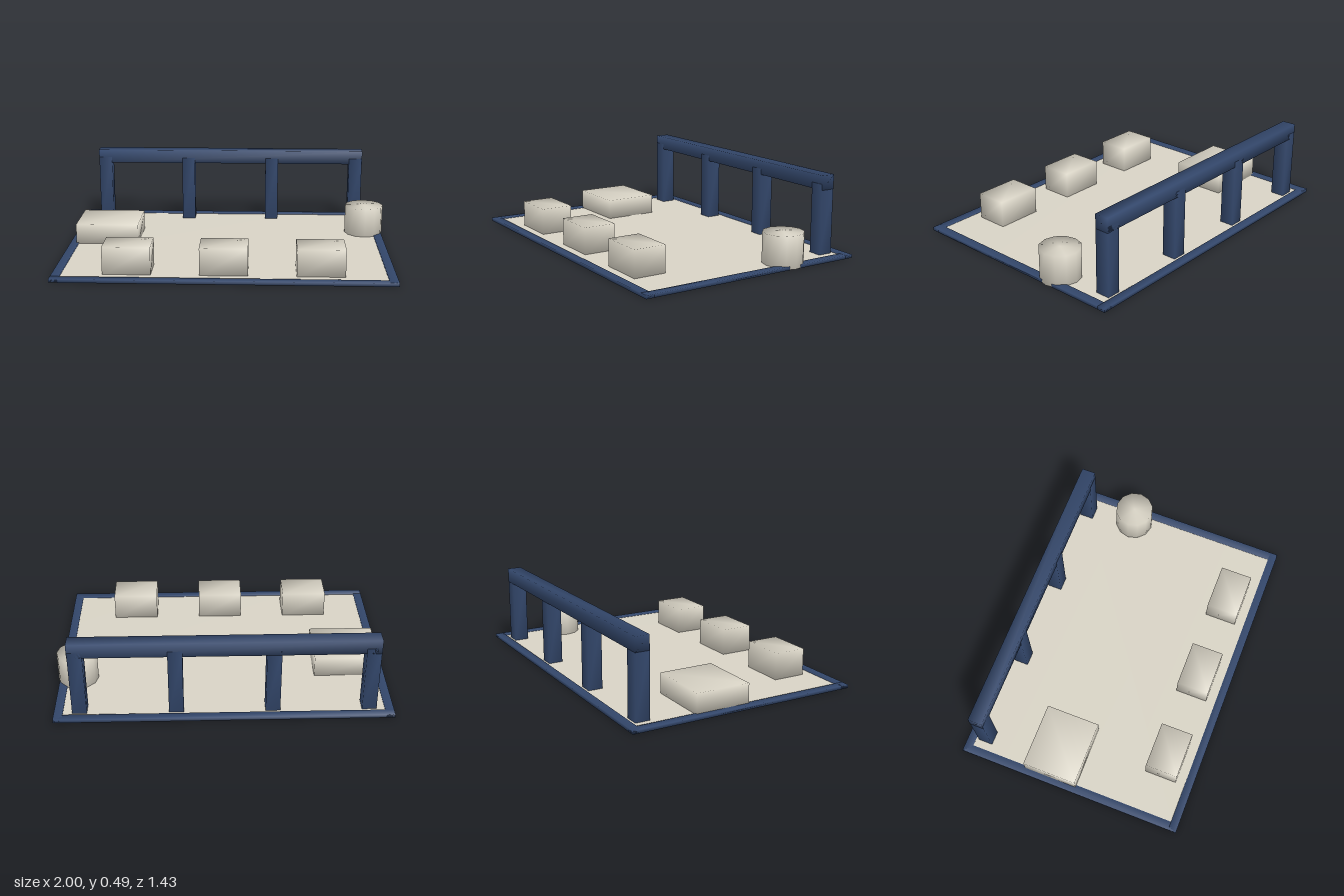
import * as THREE from 'three';
import { mergeVertices } from 'three/addons/utils/BufferGeometryUtils.js';

// Weld the corners so that shading runs smoothly around the edges
function soft(geometry) {
  geometry.deleteAttribute('normal');
  geometry.deleteAttribute('uv');
  const welded = mergeVertices(geometry, 1e-4);
  welded.computeVertexNormals();
  return welded;
}

export function createModel() {
  const model = new THREE.Group();
  model.name = 'courtyard';
  const stone = new THREE.MeshStandardMaterial({ color: 0xd8d3c5 });
  stone.name = 'pale stone';
  const navy = new THREE.MeshStandardMaterial({ color: 0x33476b });
  navy.name = 'navy';

  function add(name, geometry, material) {
    const mesh = new THREE.Mesh(geometry, material);
    mesh.name = name;
    model.add(mesh);
    return mesh;
  }

  // Box given by its extents along each axis
  function block(name, [x0, x1], [y0, y1], [z0, z1], material) {
    const mesh = add(name, soft(new THREE.BoxGeometry(x1 - x0, y1 - y0, z1 - z0)), material);
    mesh.position.set((x0 + x1) / 2, (y0 + y1) / 2, (z0 + z1) / 2);
  }

  // Floor slab
  block('floor', [-0.97, 0.965], [0.008, 0.014], [-0.69, 0.685], stone);

  // Border around the floor
  const rim = [0, 0.021];
  block('backBorder', [-1, 0.993], rim, [-0.714, -0.664], navy);
  block('frontBorder', [-1, 0.993], rim, [0.662, 0.712], navy);
  block('rightBorder', [-1, -0.948], rim, [-0.714, 0.712], navy);
  block('leftBorder', [0.941, 0.993], rim, [-0.714, 0.712], navy);

  // Rail on four posts
  block('rail', [-0.9, 0.888], [0.404, 0.492], [-0.645, -0.558], navy);
  for (const x of [-0.856, -0.289, 0.277, 0.843]) {
    block('post', [x - 0.043, x + 0.043], [0.003, 0.44], [-0.645, -0.557], navy);
  }

  // Row of three front blocks
  for (const x of [-0.568, -0.005, 0.558]) {
    block('frontBlock', [x - 0.141, x + 0.141], [0.004, 0.178], [0.403, 0.604], stone);
  }

  // Low platform and round drum
  block('platform', [-0.962, -0.568], [0.004, 0.139], [-0.303, 0.035], stone);
  const drum = add('drum', soft(new THREE.CylinderGeometry(0.122, 0.122, 0.195, 12)), stone);
  drum.position.set(0.881, 0.1, -0.281);

  return model;
}
